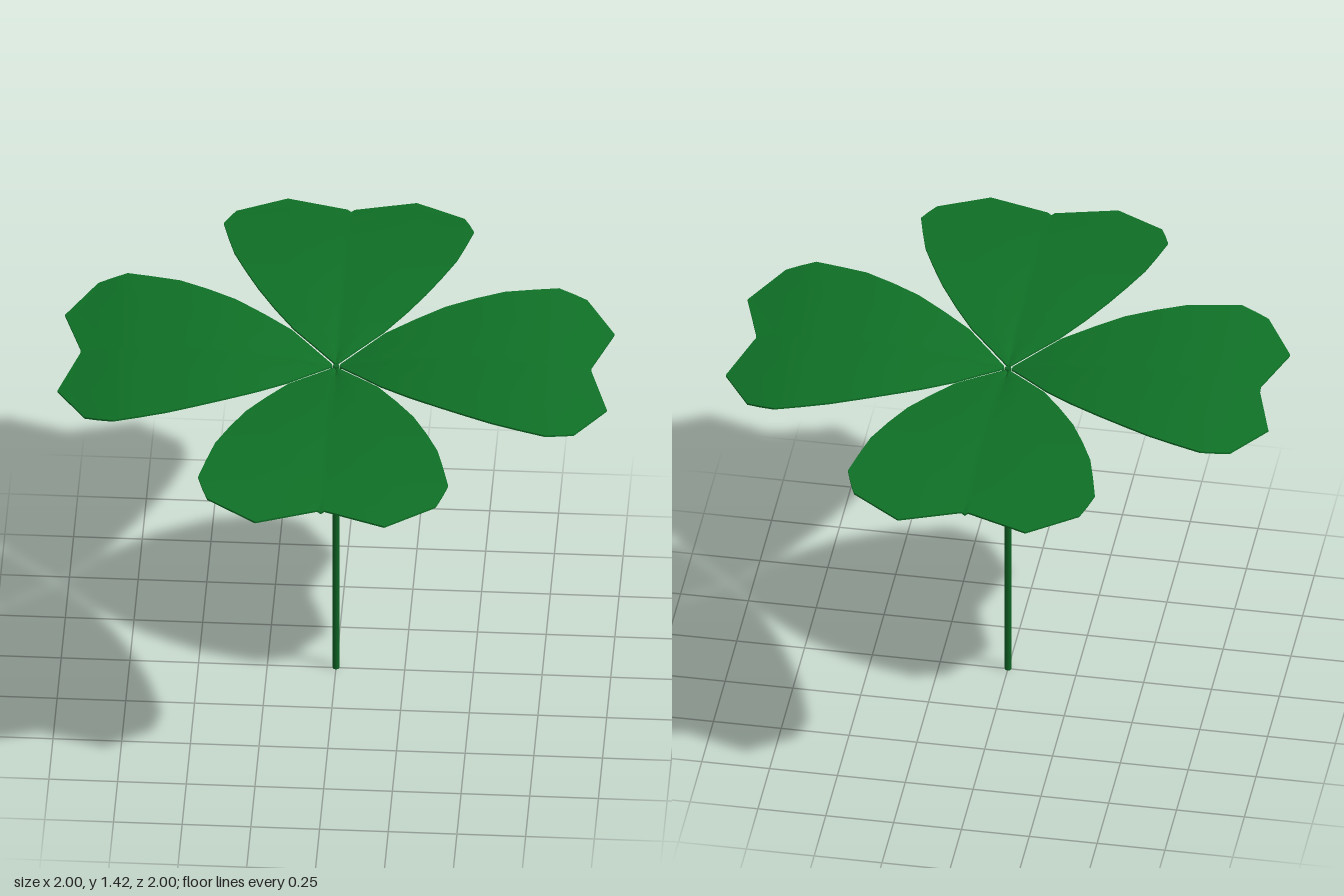
import * as THREE from 'three';

const leafMaterial = new THREE.MeshStandardMaterial({ color: 0x0f7026 });
const stemMaterial = new THREE.MeshStandardMaterial({ color: 0x0f6424 });

// Rows from base to tip: [distance at midrib, distance mid-lobe, distance at edge, half width]
const ROWS = [
  [0.015, 0.015, 0.02, 0.012],
  [0.09, 0.09, 0.09, 0.082],
  [0.17, 0.17, 0.17, 0.163],
  [0.275, 0.275, 0.275, 0.238],
  [0.38, 0.38, 0.38, 0.305],
  [0.485, 0.485, 0.485, 0.358],
  [0.59, 0.59, 0.59, 0.405],
  [0.69, 0.69, 0.69, 0.432],
  [0.78, 0.785, 0.785, 0.455],
  [0.86, 0.9, 0.84, 0.436],
  [0.93, 1.0, 0.89, 0.415],
];
// Arched blade: height by distance from the centre
const ARCH = [[0, 1.355], [0.09, 1.375], [0.17, 1.392], [0.38, 1.416], [0.5, 1.42],
  [0.59, 1.42], [0.785, 1.408], [0.9, 1.386], [1, 1.371]];
const COLUMNS = 7;
const THICKNESS = 0.007;

function archHeight(r) {
  const k = Math.max(1, ARCH.findIndex(([d]) => d >= r - 1e-6));
  const [[d0, h0], [d1, h1]] = [ARCH[k - 1], ARCH[k]];
  return THREE.MathUtils.mapLinear(r, d0, d1, h0, h1);
}

function bladePoint(i, j) {
  const [rib, lobe, edge, w] = ROWS[i];
  const side = Math.sign(j - 3);
  const c = Math.abs(j - 3); // 0 groove, 1 groove lip, 2 mid-lobe, 3 edge
  const x = [0, Math.min(0.013, w * 0.4), w * 0.566, w][c] * side;
  const z = [rib, rib, lobe, edge][c];
  return [x, archHeight(z) - (c === 0 ? 0.01 : 0), z];
}

function leafGeometry() {
  const positions = [], index = [];
  const add = ([x, y, z], drop) => positions.push(x, y - drop, z) / 3 - 1;
  // Upper and lower skins
  for (const drop of [0, THICKNESS]) {
    const start = positions.length / 3;
    for (let i = 0; i < ROWS.length; i++)
      for (let j = 0; j < COLUMNS; j++) add(bladePoint(i, j), drop);
    for (let i = 0; i < ROWS.length - 1; i++)
      for (let j = 0; j < COLUMNS - 1; j++) {
        const a = start + i * COLUMNS + j, b = a + 1, c = a + COLUMNS, d = c + 1;
        if (drop) index.push(a, b, c, b, d, c);
        else index.push(a, c, b, b, c, d);
      }
  }
  // Thin rim joining the skins
  const rim = [], last = ROWS.length - 1, end = COLUMNS - 1;
  for (let j = 0; j < end; j++) rim.push([0, j]);
  for (let i = 0; i < last; i++) rim.push([i, end]);
  for (let j = end; j > 0; j--) rim.push([last, j]);
  for (let i = last; i > 0; i--) rim.push([i, 0]);
  rim.forEach((p, k) => {
    const q = rim[(k + 1) % rim.length];
    const a = add(bladePoint(...p), 0), b = add(bladePoint(...q), 0);
    const c = add(bladePoint(...p), THICKNESS), d = add(bladePoint(...q), THICKNESS);
    index.push(a, b, c, b, d, c);
  });
  const geometry = new THREE.BufferGeometry();
  geometry.setAttribute('position', new THREE.Float32BufferAttribute(positions, 3));
  geometry.setIndex(index);
  geometry.computeVertexNormals();
  return geometry;
}

export function createModel() {
  const group = new THREE.Group();
  group.name = 'fourLeafClover';

  // Four heart-shaped leaves around the centre
  const geometry = leafGeometry();
  ['frontLeaf', 'leftLeaf', 'backLeaf', 'rightLeaf'].forEach((name, k) => {
    const leaf = new THREE.Mesh(geometry, leafMaterial);
    leaf.name = name;
    leaf.rotation.y = k * Math.PI / 2;
    group.add(leaf);
  });

  // Slender straight stem
  const stem = new THREE.Mesh(new THREE.CylinderGeometry(0.012, 0.012, 1.357, 8), stemMaterial);
  stem.name = 'stem';
  stem.position.y = 1.357 / 2;
  group.add(stem);

  return group;
}
